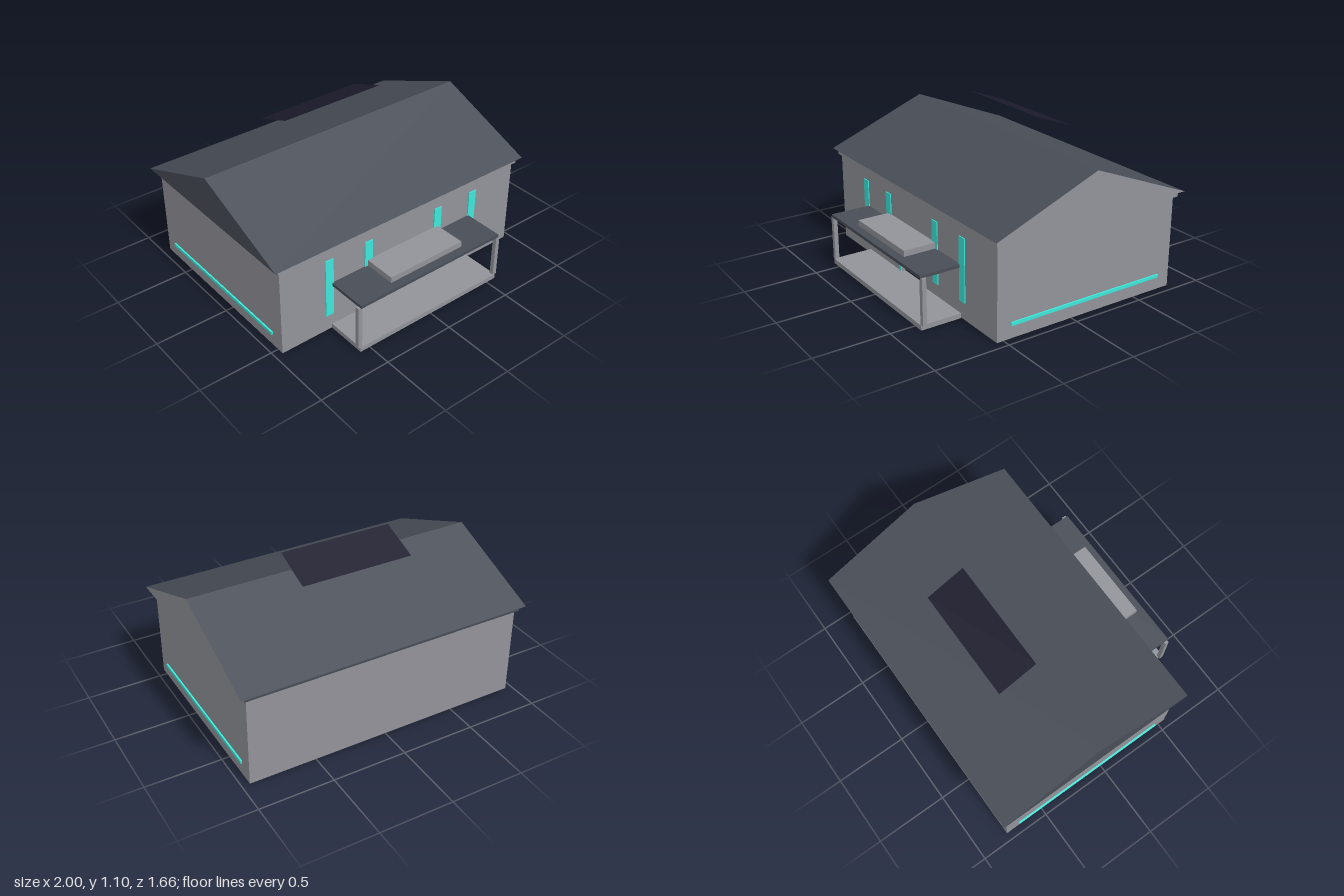
import * as THREE from 'three';

const material = (name, color, extra = {}) =>
  Object.assign(new THREE.MeshStandardMaterial({ color, ...extra }), { name });

export function createModel() {
  const house = new THREE.Group();
  house.name = 'house';
  const wall = material('wall grey', 0x92939a);
  const slate = material('roof slate', 0x484d57);
  const teal = material('teal glow', 0x3de8da);
  const dark = material('dark panel', 0x1a1a2c, { side: THREE.DoubleSide });

  const add = (name, geometry, mat) => {
    const mesh = new THREE.Mesh(geometry, mat);
    mesh.name = name;
    house.add(mesh);
    return mesh;
  };
  // Box given by its low and high corners; a material list runs +x -x +y -y +z -z
  const box = (name, mat, x0, x1, y0, y1, z0, z1) => {
    const mesh = add(name, new THREE.BoxGeometry(x1 - x0, y1 - y0, z1 - z0), mat);
    mesh.position.set((x0 + x1) / 2, (y0 + y1) / 2, (z0 + z1) / 2);
    return mesh;
  };
  const withUnderside = (main, under) => [main, main, main, under, main, main];
  const rect = (path, x0, x1, y0, y1) => path
    .moveTo(x0, y0).lineTo(x1, y0).lineTo(x1, y1).lineTo(x0, y1).closePath();

  // Hollow walls, open underneath, with a doorway in the front
  const t = 0.03, base = 0.005, top = 0.62;
  const frontShape = new THREE.Shape();
  rect(frontShape, -0.95, 0.95, base, top);
  const doorway = new THREE.Path();
  rect(doorway, -0.144, 0.144, 0.03, 0.315);
  frontShape.holes.push(doorway);
  const front = new THREE.ExtrudeGeometry(frontShape, { depth: t, bevelEnabled: false });
  add('frontWall', front.translate(0, 0, 0.55 - t), wall);
  box('frontFooting', slate, -0.95, 0.95, base - 0.002, base, 0.55 - t, 0.55);
  const footed = withUnderside(wall, slate);
  box('backWall', footed, -0.95, 0.95, base, top, -0.786, -0.786 + t);
  for (const s of [-1, 1]) {
    const x = s * (0.95 - t / 2);
    box('sideWall', footed, x - t / 2, x + t / 2, base, top, -0.786 + t, 0.55 - t);
    box('sideLightStrip', teal, s * 0.955 - 0.006, s * 0.955 + 0.006, 0.09, 0.112, -0.69, 0.455);
  }

  // Eaves slab, which is also the ceiling: grey to the front and left only
  box('eaves', [wall, slate, slate, slate, wall, slate], -0.97, 0.97, top, 0.658, -0.806, 0.567);

  // Gabled roof: profile drawn across the house, then run along x
  const profile = new THREE.Shape();
  profile.moveTo(-0.592, 0.658).lineTo(0.833, 0.658).lineTo(0.12, 0.94).closePath();
  const roof = new THREE.ExtrudeGeometry(profile, { depth: 2, bevelEnabled: false });
  roof.translate(0, 0, -1).rotateY(Math.PI / 2);
  // The left gable matches the walls, the rest is slate
  roof.clearGroups();
  roof.addGroup(0, 3, 0);
  roof.addGroup(3, 3, 1);
  roof.addGroup(6, Infinity, 0);
  add('roof', roof, [slate, wall]);

  // Thin panel floating above the back slope
  const panel = add('roofPanel', new THREE.PlaneGeometry(0.766, Math.hypot(0.27, 0.1)), dark);
  panel.rotation.set(-Math.PI / 2 - Math.atan2(0.1, 0.27), 0, 0);
  panel.position.set(0, 1.048, -0.288);

  // Tall strip windows
  for (const x of [-0.59, -0.286, 0.286, 0.59])
    box('stripWindow', teal, x - 0.03, x + 0.03, 0.118, 0.54, 0.549, 0.556);

  // Door frame
  for (const s of [-1, 1])
    box('doorJamb', teal, s * 0.155 - 0.011, s * 0.155 + 0.011, 0.03, 0.335, 0.549, 0.556);
  box('doorLintel', teal, -0.144, 0.144, 0.315, 0.335, 0.549, 0.556);

  // Porch
  box('porchFloor', footed, -0.572, 0.572, 0, 0.033, 0.55, 0.83);
  box('porchRoof', withUnderside(slate, dark), -0.57, 0.57, 0.336, 0.357, 0.55, 0.83);
  box('porchRoofBox', wall, -0.292, 0.292, 0.357, 0.397, 0.55, 0.774);
  for (const s of [-1, 1])
    box('porchPost', wall, s * 0.572 - 0.015, s * 0.572 + 0.015, 0.03, 0.338, 0.798, 0.826);

  return house;
}
